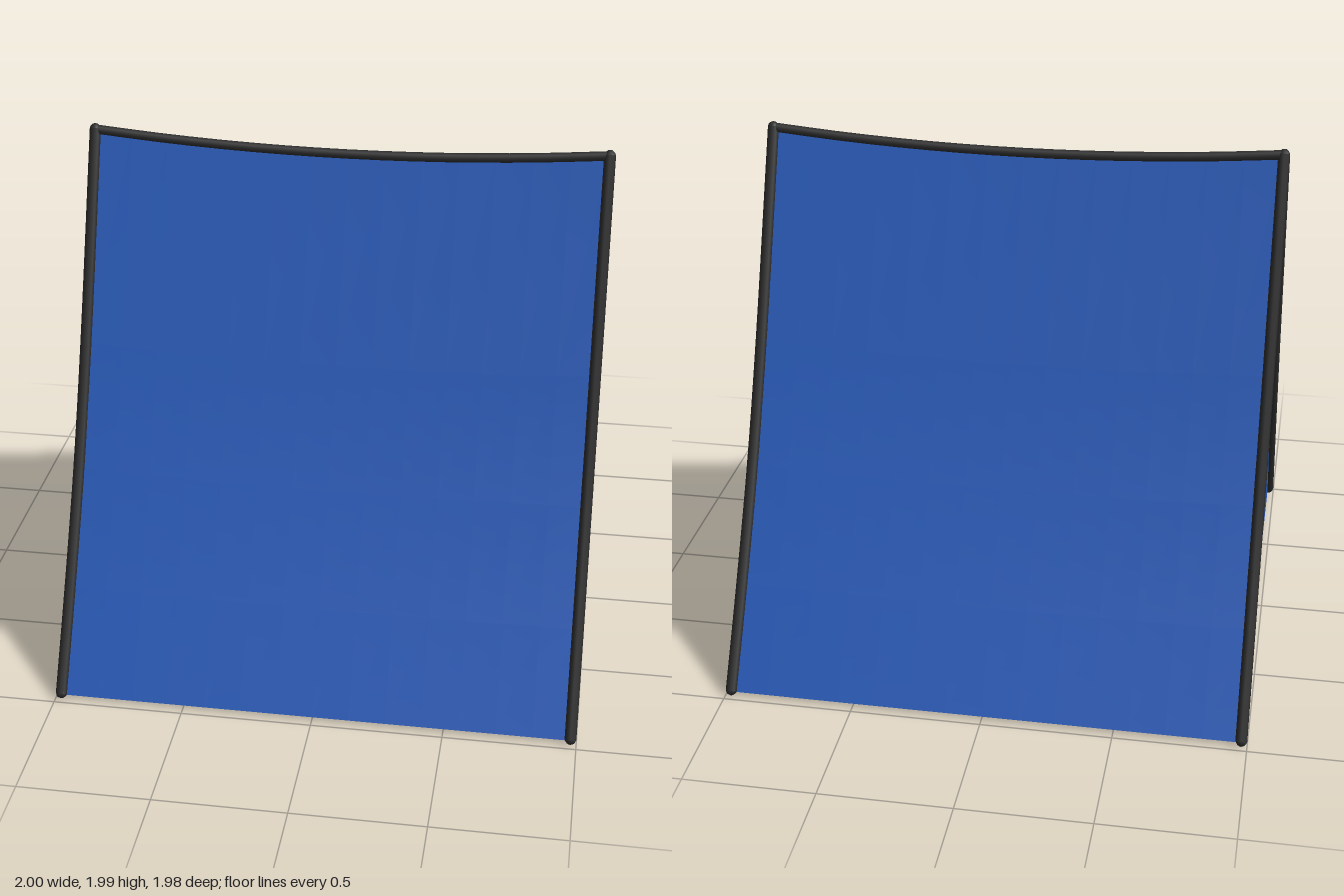
import * as THREE from 'three';

// Half cross-section of the tent as [z, y], from ground to ridge
const PROFILE = [[0.97, 0.015], [0.755, 0.37], [0.53, 0.77], [0.32, 1.21], [0, 1.965]];
const END_X = 0.975;
const SAG = 0.024;
const sagAt = (x) => 1 - SAG * (1 - (x / END_X) ** 2);

// Sloping cloth wall, lofted along x so that the ridge sags in the middle
function slopeGeometry(side) {
  const cols = 14, rows = PROFILE.length - 1;
  const geo = new THREE.PlaneGeometry(1, 1, cols, rows);
  const pos = geo.attributes.position;
  for (let r = 0; r <= rows; r++) {
    const [z, y] = PROFILE[rows - r];
    for (let c = 0; c <= cols; c++) {
      const x = side * END_X * (2 * c / cols - 1);
      pos.setXYZ(r * (cols + 1) + c, x, y * sagAt(x), side * z);
    }
  }
  geo.computeVertexNormals();
  return geo;
}

// Full end outline, mirrored about the ridge
function endShape() {
  const right = PROFILE.map(([z, y]) => new THREE.Vector2(z, y));
  const left = PROFILE.slice(0, -1).reverse().map(([z, y]) => new THREE.Vector2(-z, y));
  return new THREE.Shape([...right, ...left]);
}

// Door opening: narrow slit at the top, flaring out to the low corners
function doorPath() {
  const half = [[0.9, 0.05], [0.735, 0.38], [0.2, 0.67], [0.125, 0.735], [0.06, 0.845], [0.032, 0.955]];
  const right = half.map(([z, y]) => new THREE.Vector2(z, y));
  const left = half.slice().reverse().map(([z, y]) => new THREE.Vector2(-z, y));
  return new THREE.Path([...right, new THREE.Vector2(0, 1.92), ...left]);
}

export function createModel() {
  const cloth = new THREE.MeshStandardMaterial({ color: 0x2558b5, side: THREE.DoubleSide });
  cloth.name = 'blue cloth';
  const trim = new THREE.MeshStandardMaterial({ color: 0x2a2a2a });
  trim.name = 'dark trim';
  const ground = new THREE.MeshStandardMaterial({ color: 0x8e8e8e });
  ground.name = 'grey floor';

  const model = new THREE.Group();
  model.name = 'tent';
  const add = (name, geo, mat) => {
    const mesh = new THREE.Mesh(geo, mat);
    mesh.name = name;
    model.add(mesh);
    return mesh;
  };

  // Cloth walls
  add('frontSlope', slopeGeometry(1), cloth);
  add('backSlope', slopeGeometry(-1), cloth);

  // Closed end and end with the door
  add('closedEnd', new THREE.ShapeGeometry(endShape()).rotateY(-Math.PI / 2).translate(-END_X, 0, 0), cloth);
  const door = endShape();
  door.holes.push(doorPath());
  add('doorEnd', new THREE.ShapeGeometry(door).rotateY(Math.PI / 2).translate(END_X, 0, 0), cloth);

  // Groundsheet: blue below, grey inside
  add('groundsheet', new THREE.PlaneGeometry(2 * END_X, 1.94).rotateX(Math.PI / 2).translate(0, 0.015, 0), cloth);
  add('floor', new THREE.PlaneGeometry(2 * END_X - 0.01, 1.92).rotateX(-Math.PI / 2).translate(0, 0.022, 0), ground);

  // Edge trims at both ends, with rounded tips
  const radius = 0.022;
  for (const x of [-0.978, 0.978]) {
    for (const s of [-1, 1]) {
      const curve = new THREE.CatmullRomCurve3(PROFILE.map(([z, y]) => new THREE.Vector3(x, y + 0.005, s * z)));
      add('edgeTrim', new THREE.TubeGeometry(curve, 16, radius, 8), trim);
      add('trimFoot', new THREE.SphereGeometry(radius, 8, 6).translate(x, 0.022, s * 0.968), trim);
    }
    add('trimPeak', new THREE.SphereGeometry(radius, 8, 6).translate(x, 1.968, 0), trim);
  }

  // Sagging ridge trim
  const ridge = [];
  for (let i = 0; i <= 8; i++) {
    const x = END_X * (i / 4 - 1);
    ridge.push(new THREE.Vector3(x, 1.965 * sagAt(x) + 0.002, 0));
  }
  add('ridgeTrim', new THREE.TubeGeometry(new THREE.CatmullRomCurve3(ridge), 16, 0.019, 8), trim);

  return model;
}
